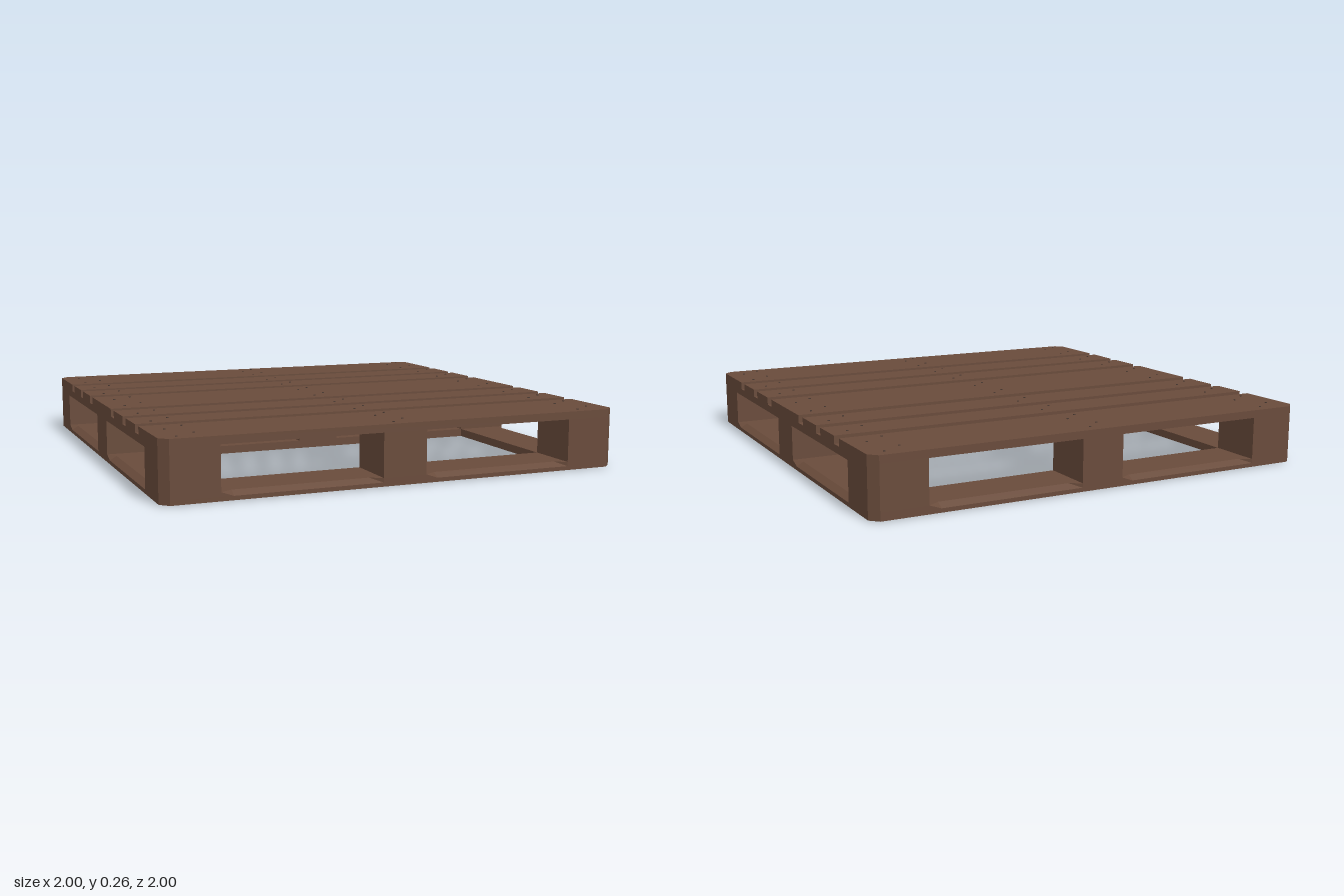
import * as THREE from 'three';

const wood = new THREE.MeshStandardMaterial({ color: 0x694b3b });
wood.name = 'brownWood';
const steel = new THREE.MeshStandardMaterial({ color: 0x4a3a32 });
steel.name = 'darkNail';

const CUT = 0.035;    // corner chamfer
const BEVEL = 0.03;   // depth of the entry bevels
const IN = 0.095, OUT = 0.768; // inner and outer limits of the fork openings
const Y = { base: 0.003, bevel: 0.02, deck: 0.038, block: 0.188, stringer: 0.22, top: 0.253 };

// Extrudes a plan outline (x, -z) upward from y0 to y1
function slab(shape, y0, y1) {
  const g = new THREE.ExtrudeGeometry(shape, { depth: y1 - y0, bevelEnabled: false });
  g.rotateX(-Math.PI / 2);
  g.translate(0, y0, 0);
  return g;
}

// Rectangular plan, clipped where it reaches a corner of the pallet
function rect(x0, x1, z0, z1) {
  const pts = [];
  const corners = [[x0, -z1], [x1, -z1], [x1, -z0], [x0, -z0]];
  corners.forEach(([x, y], i) => {
    if (Math.abs(x) < 0.999 || Math.abs(y) < 0.999) return pts.push(new THREE.Vector2(x, y));
    const a = new THREE.Vector2(x, y - Math.sign(y) * CUT);
    const b = new THREE.Vector2(x - Math.sign(x) * CUT, y);
    pts.push(...(i % 2 === 0 ? [a, b] : [b, a]));
  });
  return new THREE.Shape(pts);
}

// Square plan with clipped corners, two openings and optional entry notches
function framePlan(notch) {
  const side = [[-1 + CUT, 0]];
  if (notch) {
    for (const [a, b] of [[-OUT, -IN], [IN, OUT]]) {
      side.push([a, 0], [a + 0.05, notch], [b - 0.05, notch], [b, 0]);
    }
  }
  side.push([1 - CUT, 0]);
  const pts = [];
  for (let k = 0; k < 4; k++) {
    for (const [t, d] of side) {
      let p = [t, -1 + d];
      for (let r = 0; r < k; r++) p = [-p[1], p[0]];
      pts.push(new THREE.Vector2(...p));
    }
  }
  const shape = new THREE.Shape(pts);
  for (const [a, b] of [[-OUT, -IN], [IN, OUT]]) {
    shape.holes.push(new THREE.Path([[-OUT, a], [-OUT, b], [OUT, b], [OUT, a]]
      .map(p => new THREE.Vector2(...p))));
  }
  return shape;
}

export function createModel() {
  const pallet = new THREE.Group();
  pallet.name = 'pallet';
  const add = (name, geo, mat = wood) => {
    const m = new THREE.Mesh(geo, mat);
    m.name = name;
    pallet.add(m);
    return m;
  };

  // Bottom deck: plain lower layer, upper layer bevelled at the openings
  add('bottomDeck', slab(framePlan(0), Y.base, Y.bevel));
  const upper = slab(framePlan(BEVEL), Y.bevel, Y.deck);
  const pos = upper.attributes.position;
  const flush = (v, w) => Math.abs(Math.abs(v) - 1 + BEVEL) < 1e-4 && Math.abs(w) < 0.8 ? Math.sign(v) : v;
  for (let i = 0; i < pos.count; i++) {
    if (pos.getY(i) > Y.bevel + 0.001) continue;
    const x = pos.getX(i), z = pos.getZ(i);
    pos.setX(i, flush(x, z));
    pos.setZ(i, flush(z, x));
  }
  upper.computeVertexNormals();
  add('bottomDeckBevel', upper);

  // Nine blocks with three stringers running front to back
  const spans = [[-1, -OUT], [-IN, IN], [OUT, 1]];
  for (const [x0, x1] of spans) {
    for (const [z0, z1] of spans) add('block', slab(rect(x0, x1, z0, z1), Y.deck, Y.block));
    add('stringer', slab(rect(x0, x1, -1, 1), Y.block, Y.stringer));
  }

  // Top boards and nails in staggered pairs
  const nailGeo = new THREE.CylinderGeometry(0.005, 0.005, 0.006, 8);
  const nail = (x, y, z) => add('nail', nailGeo, steel).position.set(x, y, z);
  const boards = [[-1, -0.678], [-0.624, -0.464], [-0.412, -0.247], [-0.191, 0.191],
    [0.247, 0.412], [0.464, 0.624], [0.678, 1]];
  const columns = [[-0.925, -0.84], [-0.033, 0.035], [0.84, 0.925]];
  for (const [z0, z1] of boards) {
    add('topBoard', slab(rect(-1, 1, z0, z1), Y.stringer, Y.top));
    const rows = z1 - z0 > 0.25 ? [0.15, 0.68] : [0.34];
    for (const [xa, xb] of columns) {
      for (const f of rows) {
        const z = z0 + f * (z1 - z0);
        nail(xb, Y.top, z);
        nail(xa, Y.top, z + 0.06);
      }
    }
  }

  // Nails on the underside, four below each block
  for (const x of [-0.88, 0, 0.88]) {
    for (const z of [-0.88, 0, 0.88]) {
      for (const [dx, dz] of [[-0.06, -0.03], [-0.03, 0.05], [0.03, -0.05], [0.06, 0.03]]) {
        nail(x + dx, 0.003, z + dz);
      }
    }
  }
  return pallet;
}
